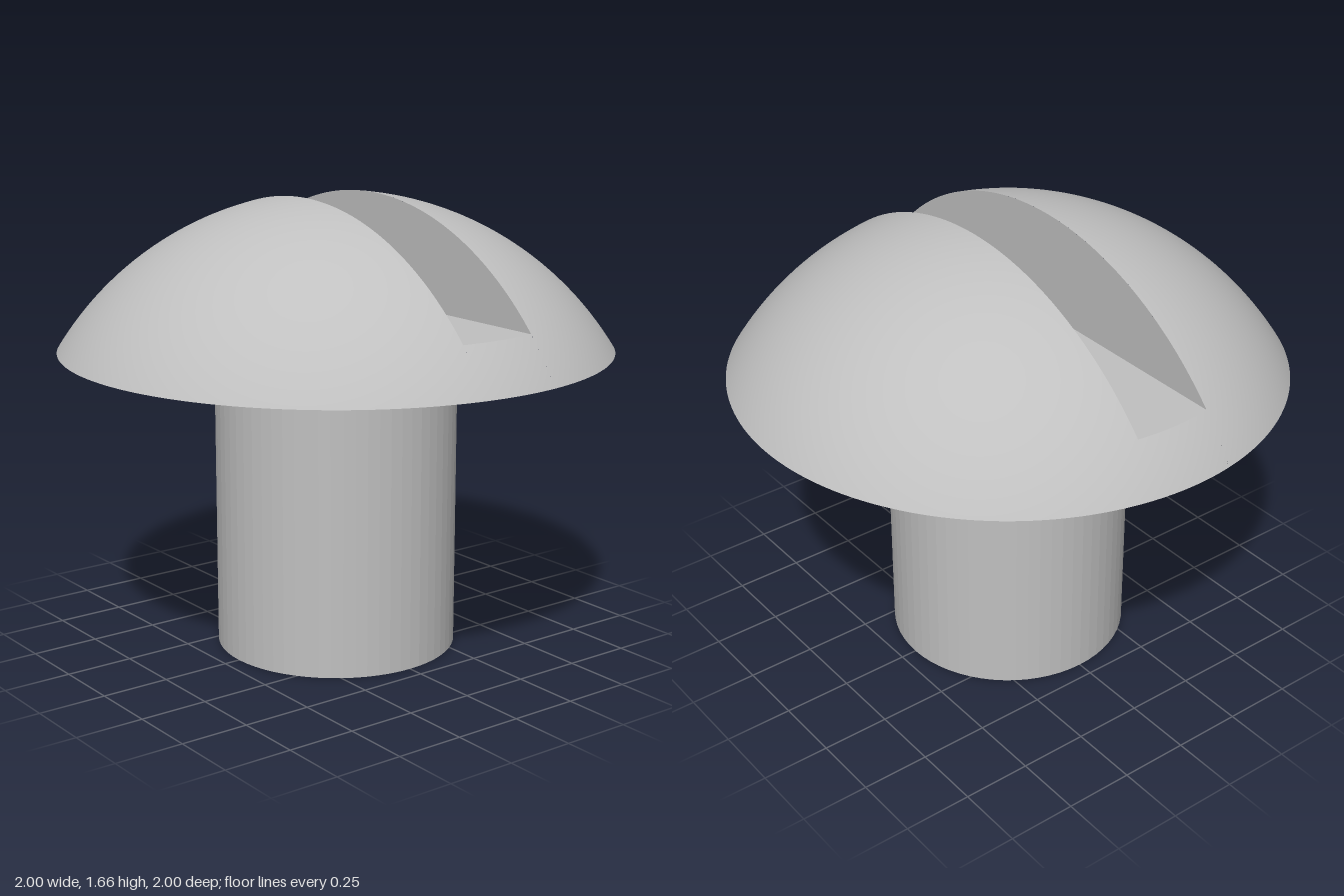
import * as THREE from 'three';

// Main dimensions
const HEAD_BASE = 1.11, SLOT_FLOOR = 1.27, SLOT_HALF = 0.147;
const DOME_CENTRE = 0.485, DOME_RADIUS = Math.hypot(1, HEAD_BASE - DOME_CENTRE);
const SHAFT_RADIUS = 0.44;

// Third coordinate of a point on the dome, given its two other offsets from the centre
const onDome = (a, b) => Math.sqrt(Math.max(0, DOME_RADIUS ** 2 - a * a - b * b));

// Grid surface from a rule (u, v in 0..1) -> [x, y, z]; it faces along dv x du
function patch(rule, nu, nv, onSphere) {
  const pos = [], index = [];
  for (let j = 0; j <= nv; j++) {
    for (let i = 0; i <= nu; i++) pos.push(...rule(i / nu, j / nv));
  }
  for (let j = 0; j < nv; j++) {
    for (let i = 0; i < nu; i++) {
      const a = j * (nu + 1) + i, b = a + nu + 1;
      index.push(a, b, b + 1, a, b + 1, a + 1);
    }
  }
  const geo = new THREE.BufferGeometry();
  geo.setAttribute('position', new THREE.Float32BufferAttribute(pos, 3));
  geo.setIndex(index);
  geo.computeVertexNormals();
  if (onSphere) {
    const n = geo.attributes.normal, p = geo.attributes.position;
    for (let i = 0; i < p.count; i++) {
      n.setXYZ(i, p.getX(i) / DOME_RADIUS, (p.getY(i) - DOME_CENTRE) / DOME_RADIUS, p.getZ(i) / DOME_RADIUS);
    }
  }
  return geo;
}

export function createModel() {
  const model = new THREE.Group();
  model.name = 'slottedScrew';
  const metal = new THREE.MeshStandardMaterial({ color: 0xc0c0c0 });
  const shaftMetal = metal.clone();
  shaftMetal.flatShading = true;
  metal.name = 'greyMetal';
  shaftMetal.name = 'greyMetalFaceted';

  const add = (parent, name, geo, mat = metal) => {
    const mesh = new THREE.Mesh(geo, mat);
    mesh.name = name;
    parent.add(mesh);
    return mesh;
  };

  // Dome beside the slot: arcs stacked from the slot edge out to the rim
  const a0 = Math.asin(SLOT_HALF);
  const domeGeo = patch((u, v) => {
    const a = a0 + (Math.PI / 2 - a0) * v;
    const z = Math.sin(a), x = Math.cos(a) * Math.sin((u - 0.5) * Math.PI);
    return [x, DOME_CENTRE + onDome(x, z), z];
  }, 64, 40, true);

  // Slot wall, from the floor up to the dome edge
  const wallHalf = onDome(SLOT_HALF, SLOT_FLOOR - DOME_CENTRE);
  const wallGeo = patch((u, v) => {
    const x = wallHalf * Math.sin((u - 0.5) * Math.PI);
    const top = DOME_CENTRE + onDome(x, SLOT_HALF);
    return [x, SLOT_FLOOR + (top - SLOT_FLOOR) * v, SLOT_HALF];
  }, 64, 1);

  // Piece of dome below each open end of the slot
  const endGeo = patch((u, v) => {
    const z = (2 * u - 1) * SLOT_HALF;
    const y = HEAD_BASE + (SLOT_FLOOR - HEAD_BASE) * v;
    return [onDome(y - DOME_CENTRE, z), y, z];
  }, 12, 6, true);

  // The head is the same after a half turn
  const head = new THREE.Group();
  head.name = 'head';
  ['front', 'back'].forEach((side, i) => {
    const half = new THREE.Group();
    half.name = side + 'HeadHalf';
    half.rotation.y = i * Math.PI;
    add(half, side + 'Dome', domeGeo);
    add(half, side + 'SlotWall', wallGeo);
    add(half, i ? 'rightSlotEnd' : 'leftSlotEnd', endGeo);
    head.add(half);
  });

  // Slot floor with curved ends
  add(head, 'slotFloor', patch((u, v) => {
    const z = (2 * v - 1) * SLOT_HALF;
    return [(2 * u - 1) * onDome(SLOT_FLOOR - DOME_CENTRE, z), SLOT_FLOOR, z];
  }, 2, 12));

  // Flat underside of the head
  const underside = add(head, 'headUnderside', new THREE.RingGeometry(SHAFT_RADIUS - 0.01, 1, 128));
  underside.rotation.x = Math.PI / 2;
  underside.position.y = HEAD_BASE;
  model.add(head);

  // Shaft
  const shaft = add(model, 'shaft', new THREE.CylinderGeometry(SHAFT_RADIUS, SHAFT_RADIUS, HEAD_BASE, 64), shaftMetal);
  shaft.position.y = HEAD_BASE / 2;

  return model;
}
